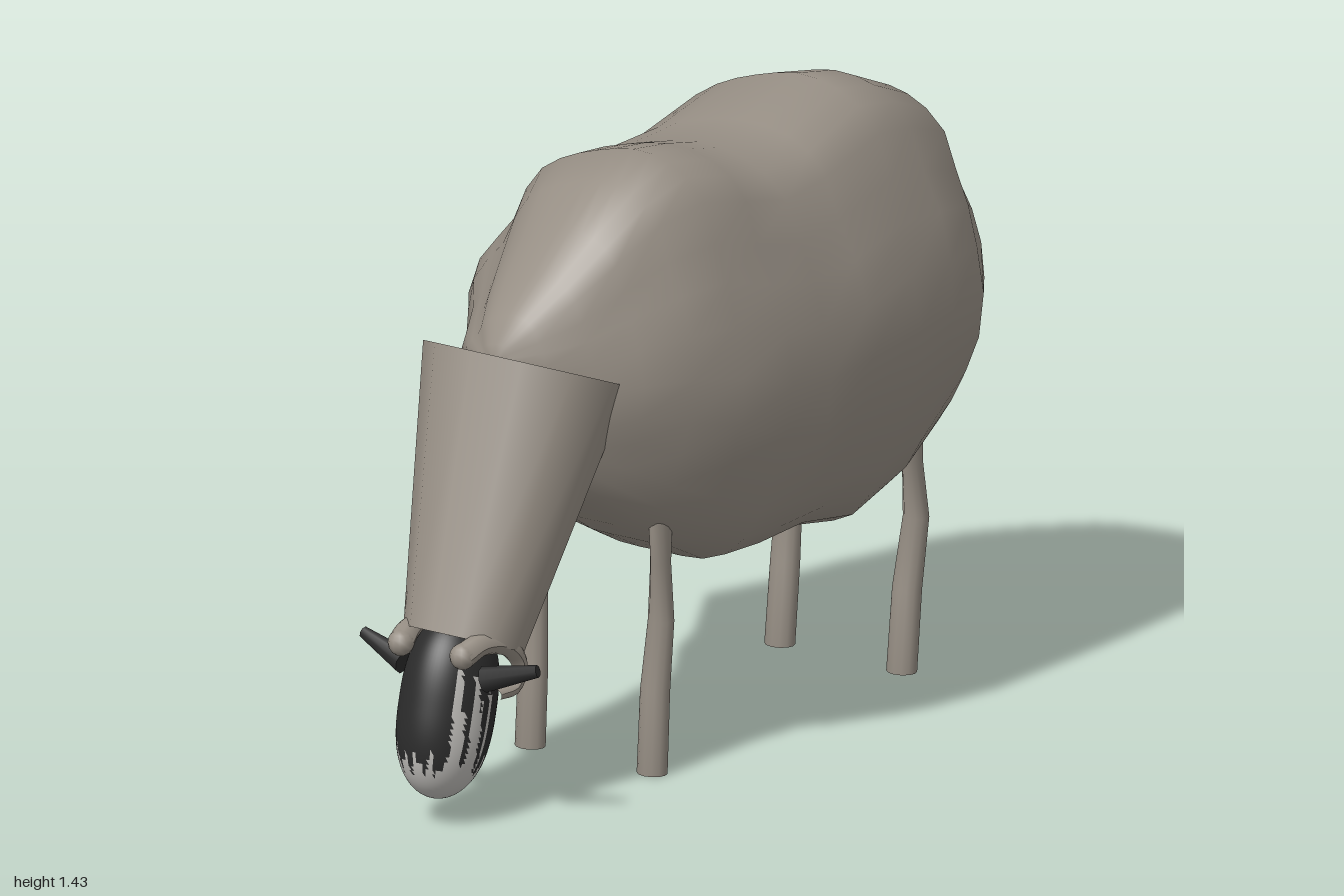
import * as THREE from 'three';

const V = (x, y, z) => new THREE.Vector3(x, y, z);
const CX = 0.04; // the head, neck and tail sit slightly off centre

// Closed smooth skin over rings of equal point count
function loft(rings) {
  const n = rings[0].length, pos = [], index = [];
  rings.forEach((ring) => ring.forEach((p) => pos.push(p.x, p.y, p.z)));
  for (let i = 0; i < rings.length - 1; i++) {
    for (let j = 0; j < n; j++) {
      const a = i * n + j, b = i * n + (j + 1) % n;
      index.push(a, b, a + n, b, b + n, a + n);
    }
  }
  const g = new THREE.BufferGeometry();
  g.setAttribute('position', new THREE.Float32BufferAttribute(pos, 3));
  g.setIndex(index);
  g.computeVertexNormals();
  return g;
}

// Woolly body: one uneven outline, fitted to each section along z
function bodyGeometry() {
  // Across from -1 to 1, up from 0 to 1, counter-clockwise from the belly
  const outline = new THREE.CatmullRomCurve3([
    [0.15, 0], [0.52, 0.02], [0.74, 0.12], [0.87, 0.24], [0.96, 0.35], [1, 0.47],
    [0.96, 0.6], [0.89, 0.71], [0.79, 0.8], [0.72, 0.89], [0.55, 0.965], [0.25, 1],
    [-0.08, 0.975], [-0.38, 0.925], [-0.56, 0.86], [-0.66, 0.77], [-0.84, 0.68], [-1, 0.56],
    [-0.86, 0.45], [-0.78, 0.34], [-0.7, 0.23], [-0.54, 0.11], [-0.3, 0.02],
  ].map(([x, y]) => V(x, y, 0)), true);
  const profile = outline.getSpacedPoints(36).slice(0, 36);
  // [z, top, bottom, right side x, left side x]
  const sections = [
    [0.685, 1.06, 0.97, -0.02, 0.08],
    [0.65, 1.12, 0.87, -0.08, 0.15],
    [0.58, 1.2, 0.75, -0.14, 0.23],
    [0.5, 1.29, 0.67, -0.19, 0.30],
    [0.4, 1.38, 0.59, -0.26, 0.37],
    [0.28, 1.425, 0.52, -0.34, 0.42],
    [0.14, 1.4, 0.45, -0.41, 0.45],
    [0, 1.365, 0.44, -0.47, 0.46],
    [-0.15, 1.38, 0.45, -0.43, 0.455],
    [-0.33, 1.445, 0.42, -0.39, 0.45],
    [-0.46, 1.42, 0.46, -0.36, 0.445],
    [-0.6, 1.36, 0.53, -0.32, 0.42],
    [-0.72, 1.25, 0.61, -0.25, 0.33],
    [-0.82, 1.10, 0.71, -0.19, 0.25],
    [-0.88, 1.0, 0.80, -0.1, 0.15],
    [-0.9, 0.90, 0.87, 0, 0.06],
  ];
  const rings = sections.map(([z, top, bottom, right, left]) => {
    const mid = (right + left) / 2, half = (left - right) / 2;
    return profile.map((p, j) => {
      // Lumps in the fleece, fading out at the back and belly lines
      const lump = 1 + 0.03 * Math.sin(j * 0.9 + z * 9) * Math.cos(z * 13 + j * 0.35);
      return V(mid + p.x * half * lump, bottom + (top - bottom) * p.y, z);
    });
  });
  const cap = (ring, z) => {
    const m = ring.reduce((t, p) => t.add(p), V(0, 0, 0)).divideScalar(ring.length).setZ(z);
    return ring.map(() => m);
  };
  rings.unshift(cap(rings[0], 0.69));
  rings.push(cap(rings[rings.length - 1], -0.905));
  // Run from back to front so the faces point outward
  return loft(rings.reverse());
}

// Tapered elliptical limb between two points, with closed ends
function limb(from, to, r0, r1, material, segments = 20) {
  const g = new THREE.CylinderGeometry(1, 1, 1, segments, 1);
  const p = g.attributes.position, n = g.attributes.normal;
  for (let i = 0; i < p.count; i++) {
    const r = p.getY(i) > 0 ? r0 : r1;
    p.setX(i, p.getX(i) * r[0]);
    p.setZ(i, p.getZ(i) * r[1]);
    const v = V(n.getX(i) / r[0], n.getY(i) / r[0], n.getZ(i) / r[1]).normalize();
    n.setXYZ(i, v.x, v.y, v.z);
  }
  const mesh = new THREE.Mesh(g, material);
  const dir = from.clone().sub(to);
  mesh.scale.y = dir.length();
  mesh.position.copy(from).add(to).multiplyScalar(0.5);
  mesh.quaternion.setFromUnitVectors(V(0, 1, 0), dir.normalize());
  return mesh;
}

// Leg with a straight shank, a bent knee and a flattened top set outward
function legGeometry(top, knee, out) {
  // [height, x radius, z radius, x shift, z shift]
  const rows = [
    [0.01, 0.001, 0.001, 0, 0], [0.01, 0.036, 0.031, 0, 0], [0.2, 0.035, 0.03, 0, knee * 0.45],
    [0.36, 0.031, 0.026, out * 0.25, knee], [0.5, 0.022, 0.026, out * 0.65, knee * 0.4],
    [top, 0.021, 0.042, out, 0], [top, 0.001, 0.001, out, 0],
  ];
  return loft(rows.map(([y, rx, rz, x, z]) => Array.from({ length: 12 }, (_, j) => {
    const a = j / 12 * Math.PI * 2;
    return V(x + Math.cos(a) * rx, y, z + Math.sin(a) * rz);
  })).reverse());
}

// Head in two colours: dark face with ragged pale cheeks and muzzle
function headGeometry() {
  const g = new THREE.SphereGeometry(1, 72, 48);
  const p = g.attributes.position, old = g.index.array, dark = [], pale = [];
  for (let i = 0; i < old.length; i += 3) {
    const c = V(0, 0, 0);
    for (let k = 0; k < 3; k++) c.add(V().fromBufferAttribute(p, old[i + k]));
    c.divideScalar(3);
    const a = Math.atan2(c.x, c.z), side = Math.abs(a);
    const rag = 0.1 * Math.sin(a * 17) + 0.07 * Math.sin(a * 29 + 1);
    const streak = Math.sin(side * 15 + c.y * 1.5) > -0.45;
    const cheek = side > 0.75 && side < 1.75 && c.y < 0.3 + rag * 2 && streak;
    const muzzle = c.y < -0.62 + rag && c.z > -0.35;
    (cheek || muzzle ? pale : dark).push(old[i], old[i + 1], old[i + 2]);
  }
  g.setIndex([...dark, ...pale]);
  g.clearGroups();
  g.addGroup(0, dark.length, 0);
  g.addGroup(dark.length, pale.length, 1);
  // Fuller than an ellipsoid towards both ends
  for (let i = 0; i < p.count; i++) {
    const y = Math.abs(p.getY(i));
    const k = y < 0.999 ? Math.sqrt((1 - y ** 2.6) / (1 - y * y)) : 1;
    p.setXYZ(i, p.getX(i) * k * 0.104, p.getY(i) * 0.21, p.getZ(i) * k * 0.118);
  }
  g.computeVertexNormals();
  return g;
}

// Curled horn: a tube that narrows to its tip
function hornGeometry(side) {
  const path = new THREE.CatmullRomCurve3([
    [0.085, 0.415, 0.93], [0.098, 0.432, 0.88], [0.115, 0.415, 0.81], [0.12, 0.36, 0.765],
    [0.122, 0.315, 0.785], [0.115, 0.308, 0.84],
  ].map(([x, y, z]) => V(CX + side * x, y, z)));
  const g = new THREE.TubeGeometry(path, 24, 1, 10);
  const p = g.attributes.position;
  for (let i = 0; i < p.count; i++) {
    const t = Math.floor(i / 11) / 24, c = path.getPointAt(t);
    const v = V().fromBufferAttribute(p, i).sub(c).multiplyScalar(0.03 * (1 - t * 0.6)).add(c);
    p.setXYZ(i, v.x, v.y, v.z);
  }
  g.computeVertexNormals();
  return g;
}

export function createModel() {
  const material = (name, color) => Object.assign(new THREE.MeshStandardMaterial({ color }), { name });
  const wool = material('wool grey', 0x968e84);
  const black = material('face black', 0x2b2b2b);
  const pale = material('muzzle pale', 0xbebcb8);

  const model = new THREE.Group();
  model.name = 'sheep';
  const add = (name, mesh) => {
    mesh.name = name;
    model.add(mesh);
    return mesh;
  };

  add('body', new THREE.Mesh(bodyGeometry(), wool));
  add('neck', limb(V(CX, 0.99, 0.58), V(CX, 0.41, 0.812), [0.24, 0.222], [0.14, 0.13], wool, 12));
  add('tail', limb(V(CX, 1.02, -0.855), V(CX, 0.72, -0.955), [0.065, 0.034], [0.05, 0.045], wool));

  const head = add('head', new THREE.Mesh(headGeometry(), [black, pale]));
  head.position.set(CX, 0.272, 0.872);
  head.rotation.x = -0.24;

  for (const side of [-1, 1]) {
    const label = side < 0 ? 'right' : 'left';
    const x = CX + side * 0.168;
    const front = add(label + 'FrontLeg', new THREE.Mesh(legGeometry(0.66, -0.025, side * 0.025), wool));
    front.position.set(x, 0, 0.34);
    const back = add(label + 'BackLeg', new THREE.Mesh(legGeometry(0.62, -0.045, side * 0.025), wool));
    back.position.set(x, 0, -0.585);

    // Horns, their rounded roots and the ears
    add(label + 'Horn', new THREE.Mesh(hornGeometry(side), wool));
    const root = add(label + 'HornRoot', new THREE.Mesh(new THREE.SphereGeometry(0.03, 12, 8), wool));
    root.position.set(CX + side * 0.085, 0.415, 0.93);
    add(label + 'Ear', limb(V(CX + side * 0.24, 0.392, 0.86), V(CX + side * 0.11, 0.355, 0.885),
      [0.014, 0.012], [0.03, 0.025], black, 8));
  }
  return model;
}
